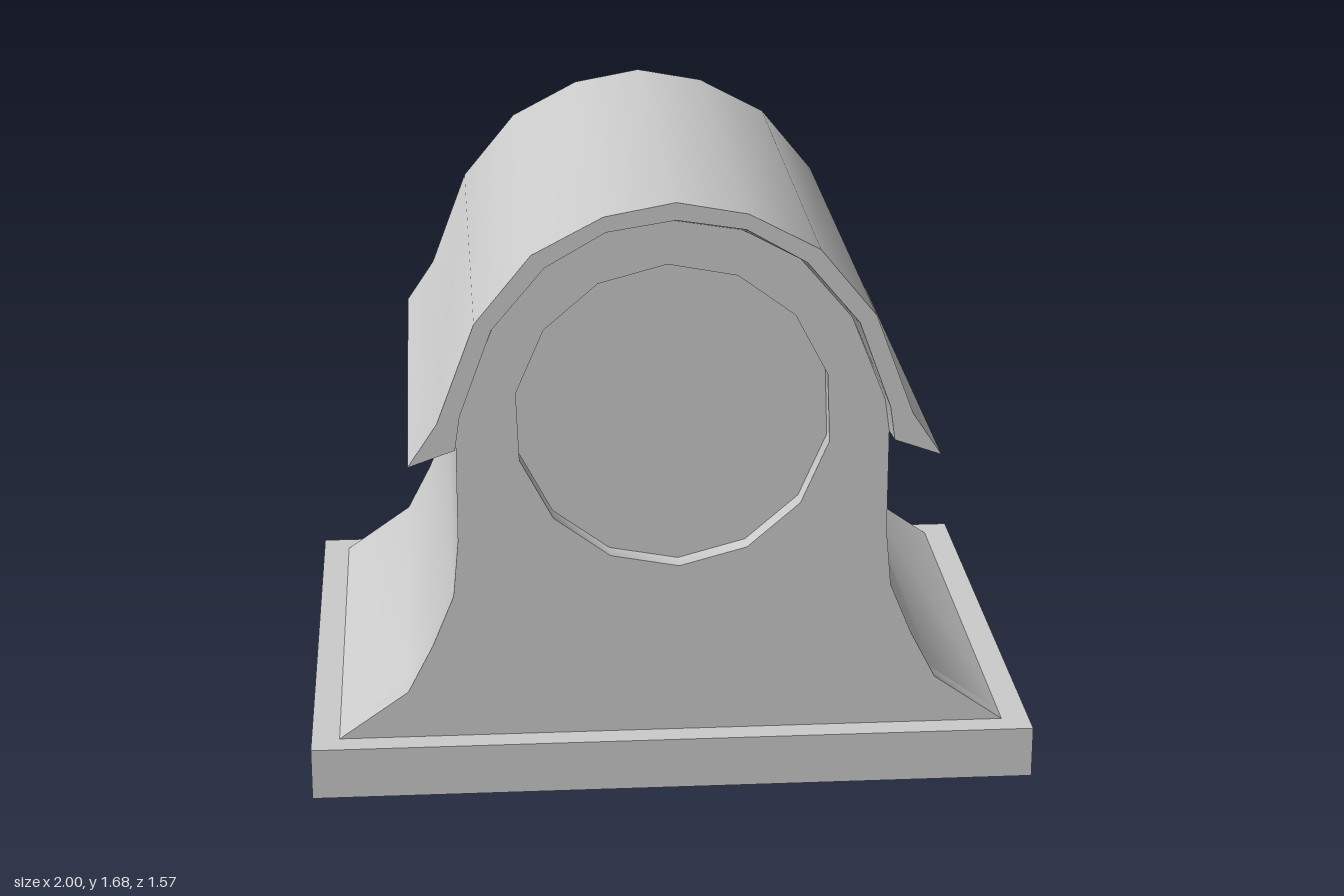
import * as THREE from 'three';
import { toCreasedNormals } from 'three/addons/utils/BufferGeometryUtils.js';

const CREASE = 0.7;
const BACK = -0.71, FACE = 0.7, RECESS = 0.64, HOOD = 0.785;

// Half profiles on the +x side, listed from bottom to the centre line
const FLARE = [[0.93, 0.14], [0.73, 0.28], [0.66, 0.415], [0.6, 0.56], [0.585, 0.72]];
const ARCH = [[0.585, 1.01], [0.572, 1.1], [0.478, 1.335], [0.337, 1.5], [0.18, 1.583], [0, 1.612]];
const LIP = [[0.588, 1.015], [0.574, 1.11], [0.487, 1.347], [0.345, 1.515], [0.184, 1.608], [0, 1.637]];
const OUTER = [[0.715, 0.97], [0.635, 1.09], [0.532, 1.365], [0.38, 1.55], [0.19, 1.65], [0, 1.685]];

// Complete a half profile by mirroring it over x = 0
function mirrored(half) {
  return [...half, ...half.slice(0, -1).reverse().map(([x, y]) => [-x, y])];
}

function extrude(shape, z0, z1) {
  const geo = new THREE.ExtrudeGeometry(shape, { depth: z1 - z0, bevelEnabled: false });
  geo.translate(0, 0, z0);
  return toCreasedNormals(geo, CREASE);
}

function bodyShape() {
  return new THREE.Shape(mirrored([...FLARE, ...ARCH]).map(([x, y]) => new THREE.Vector2(x, y)));
}

// Closed arched shell: rows run outside back-to-front, then inside front-to-back
function roofGeometry() {
  const rows = [[OUTER, BACK], [OUTER, HOOD], [LIP, HOOD], [ARCH, FACE], [ARCH, BACK]]
    .map(([half, z]) => mirrored(half).map(([x, y]) => [x, y, z]));
  const n = rows[0].length, m = rows.length;
  const positions = rows.flat(2), index = [];
  for (let j = 0; j < m; j++) {
    const k = (j + 1) % m;
    for (let i = 0; i < n - 1; i++) {
      const a = j * n + i, b = k * n + i;
      index.push(a, a + 1, b + 1, a, b + 1, b);
    }
  }
  // Undersides of the two eaves
  for (let j = 1; j < m - 1; j++) {
    index.push(0, j * n, (j + 1) * n);
    index.push(n - 1, (j + 2) * n - 1, (j + 1) * n - 1);
  }
  const geo = new THREE.BufferGeometry();
  geo.setAttribute('position', new THREE.Float32BufferAttribute(positions, 3));
  geo.setIndex(index);
  return toCreasedNormals(geo, CREASE);
}

export function createModel() {
  const group = new THREE.Group();
  const material = new THREE.MeshStandardMaterial({ color: 0xcccccc });
  const add = (name, geo) => {
    const mesh = new THREE.Mesh(geo, material);
    mesh.name = name;
    group.add(mesh);
    return mesh;
  };

  // Base slab
  add('base', new THREE.BoxGeometry(2, 0.145, 1.555)).position.set(0, 0.0725, -0.0075);

  // Flared body; its front closes the round recess
  add('body', extrude(bodyShape(), BACK, RECESS));

  // Front plate with a 14-sided opening
  const plate = bodyShape();
  const hole = [];
  for (let i = 0; i < 14; i++) {
    const t = Math.PI / 2 + 0.04 - (i / 14) * Math.PI * 2;
    hole.push(new THREE.Vector2(0.43 * Math.cos(t), 1.063 + 0.43 * Math.sin(t)));
  }
  plate.holes.push(new THREE.Path(hole));
  add('frontPlate', extrude(plate, RECESS, FACE));

  // Arched roof with flared eaves and a front hood
  add('roof', roofGeometry());

  return group;
}
